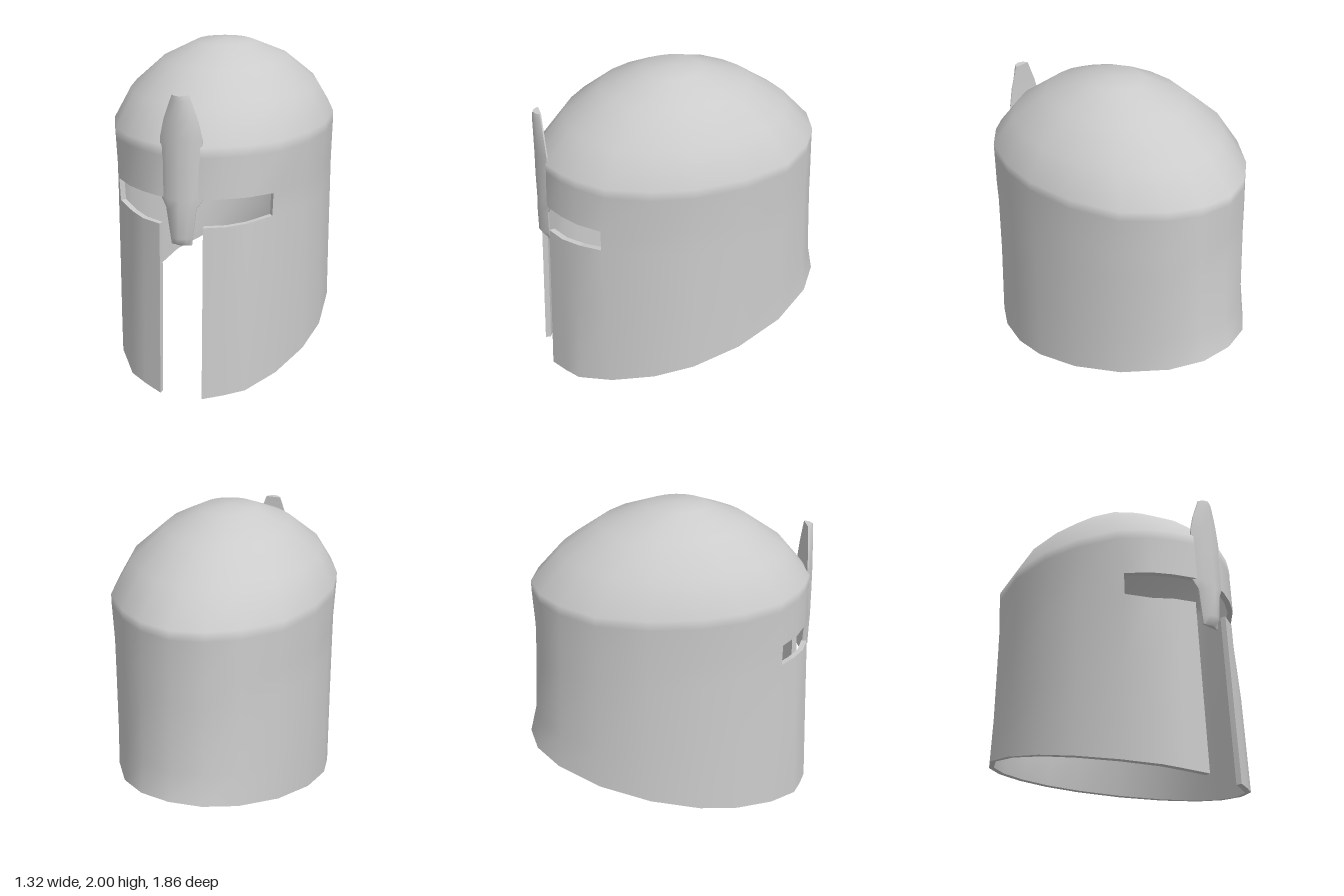
import * as THREE from 'three';
import { mergeVertices } from 'three/addons/utils/BufferGeometryUtils.js';

const THICK = 0.035;
const material = new THREE.MeshStandardMaterial({ color: 0xcccccc });

// Mesh from a list of quads (each four corners, counter-clockwise)
function quadMesh(name, quads, smooth) {
  const pos = [];
  for (const [a, b, c, d] of quads) {
    for (const tri of [[a, b, c], [a, c, d]]) {
      const [p, q, r] = tri.map((v) => new THREE.Vector3(...v));
      if (q.clone().sub(p).cross(r.clone().sub(p)).length() < 1e-7) continue;
      for (const v of tri) pos.push(...v);
    }
  }
  let geo = new THREE.BufferGeometry();
  geo.setAttribute('position', new THREE.Float32BufferAttribute(pos, 3));
  if (smooth) geo = mergeVertices(geo, 1e-4);
  geo.computeVertexNormals();
  const mesh = new THREE.Mesh(geo, material);
  mesh.name = name;
  return mesh;
}

// Half outlines [x, z] from the front centre round the left side to the back
const BOTTOM = [[0, 0.93], [0.13, 0.925], [0.25, 0.865], [0.36, 0.80], [0.5, 0.61], [0.61, 0.36],
  [0.66, 0.11], [0.645, -0.2], [0.55, -0.51], [0.38, -0.76], [0.2, -0.89], [0, -0.93]];
const MIDDLE = [[0, 0.88], [0.13, 0.87], [0.25, 0.815], [0.36, 0.745], [0.475, 0.63], [0.6, 0.36],
  [0.645, 0.11], [0.64, -0.2], [0.54, -0.5], [0.37, -0.71], [0.2, -0.82], [0, -0.85]];
const TOP = [[0, 0.87], [0.13, 0.86], [0.25, 0.805], [0.36, 0.735], [0.5, 0.6], [0.61, 0.36],
  [0.66, 0.11], [0.645, -0.2], [0.55, -0.5], [0.37, -0.7], [0.2, -0.81], [0, -0.86]];

// Mirrors a half ring into a closed loop
const loop = (half) => [...half, ...half.slice(1, -1).reverse().map(([x, y, z]) => [-x, y, z])];
const level = (outline, y) => outline.map(([x, z]) => [x, y, z]);

function shellRows() {
  const rim = BOTTOM.map(([x, z]) => [x, Math.max(0, 0.22 - 0.2366 * z), z]);
  const blend = (y, t) => BOTTOM.map(([x, z], i) => [
    x + (MIDDLE[i][0] - x) * t, y, z + (MIDDLE[i][1] - z) * t]);
  const cheek = blend(0.62, 0.55);
  const slitBase = blend(1.065, 0.92);
  // Shallow dent in the cheek under each eye slit
  slitBase[3] = [0.35, 1.068, 0.735];
  slitBase[4] = [0.47, 1.092, 0.63];
  const dome = [[1.72, 0.85, 0.805, 0.01], [1.885, 0.57, 0.53, 0.02], [1.987, 0.26, 0.21, 0.04], [2, 0, 0, 0.04]]
    .map(([y, sx, sz, dz]) => TOP.map(([x, z]) => [x * sx, y, z * sz + dz]));
  return [rim, cheek, slitBase, level(MIDDLE, 1.23), level(TOP, 1.47), level(TOP, 1.53), ...dome].map(loop);
}

function createShell() {
  const group = new THREE.Group();
  group.name = 'helmetShell';
  const outer = shellRows();
  const n = outer[0].length;
  const inner = outer.map((row, r) => row.map(([x, y, z]) => {
    const s = Math.max(0, 1 - THICK / Math.max(Math.hypot(x, z), 0.05));
    return r > 5 ? [x * s, y - THICK * (r > 7 ? 1 : 0.6), z * s] : [x * s, y, z * s];
  }));

  // Cells left open: the face gap (rows 0-1) and the eye slits (row 2)
  const solid = (r, c) => {
    if (r < 0 || r > outer.length - 2) return r > 0;
    const side = Math.min(c, n - 1 - c);
    return !(r < 2 && side < 1) && !(r === 2 && side < 4);
  };

  const outside = [], inside = [], edges = [];
  for (let r = 0; r < outer.length - 1; r++) {
    for (let c = 0; c < n; c++) {
      if (!solid(r, c)) continue;
      const d = (c + 1) % n;
      const corners = [[r, c], [r, d], [r + 1, d], [r + 1, c]];
      const o = corners.map(([i, j]) => outer[i][j]);
      const k = corners.map(([i, j]) => inner[i][j]);
      outside.push(o);
      inside.push([...k].reverse());
      // Close the thickness wherever the neighbouring cell is open
      const neighbours = [[r - 1, c], [r, d], [r + 1, c], [r, (c + n - 1) % n]];
      neighbours.forEach(([i, j], e) => {
        const f = (e + 1) % 4;
        if (!solid(i, j)) edges.push([o[f], o[e], k[e], k[f]]);
      });
    }
  }
  group.add(quadMesh('outerShell', outside, true));
  group.add(quadMesh('innerLining', inside, true));
  group.add(quadMesh('shellEdges', edges, false));
  return group;
}

function createNoseGuard() {
  const group = new THREE.Group();
  group.name = 'noseGuard';
  // Sections: height, half width, front z, back z
  const sections = [
    [0.95, 0.06, 0.885, 0.86], [1.0, 0.067, 0.917, 0.86], [1.17, 0.09, 0.915, 0.86],
    [1.23, 0.125, 0.91, 0.845], [1.4, 0.118, 0.908, 0.845], [1.57, 0.125, 0.902, 0.845],
    [1.68, 0.1, 0.9, 0.848], [1.79, 0.06, 0.898, 0.85], [1.82, 0.048, 0.893, 0.85]];
  const front = sections.map(([y, w, zf, zb]) => [
    [-w, y, zb + 0.008], [-w * 0.6, y, zf - 0.012], [0, y, zf], [w * 0.6, y, zf - 0.012], [w, y, zb + 0.008]]);
  const back = front.map((row, i) => row.map(([x, y]) => [x, y, sections[i][3]]));

  const face = [], rear = [], edges = [];
  const last = sections.length - 1;
  for (let c = 0; c < 4; c++) {
    for (let r = 0; r < last; r++) {
      face.push([front[r][c], front[r][c + 1], front[r + 1][c + 1], front[r + 1][c]]);
      rear.push([back[r][c + 1], back[r][c], back[r + 1][c], back[r + 1][c + 1]]);
    }
    edges.push([back[0][c], back[0][c + 1], front[0][c + 1], front[0][c]]);
    edges.push([front[last][c], front[last][c + 1], back[last][c + 1], back[last][c]]);
  }
  for (let r = 0; r < last; r++) {
    edges.push([back[r][0], front[r][0], front[r + 1][0], back[r + 1][0]]);
    edges.push([front[r][4], back[r][4], back[r + 1][4], front[r + 1][4]]);
  }
  group.add(quadMesh('noseGuardFace', face, true));
  group.add(quadMesh('noseGuardBack', rear, false));
  group.add(quadMesh('noseGuardEdges', edges, false));
  return group;
}

export function createModel() {
  const model = new THREE.Group();
  model.name = 'helmet';
  model.add(createShell(), createNoseGuard());
  return model;
}
